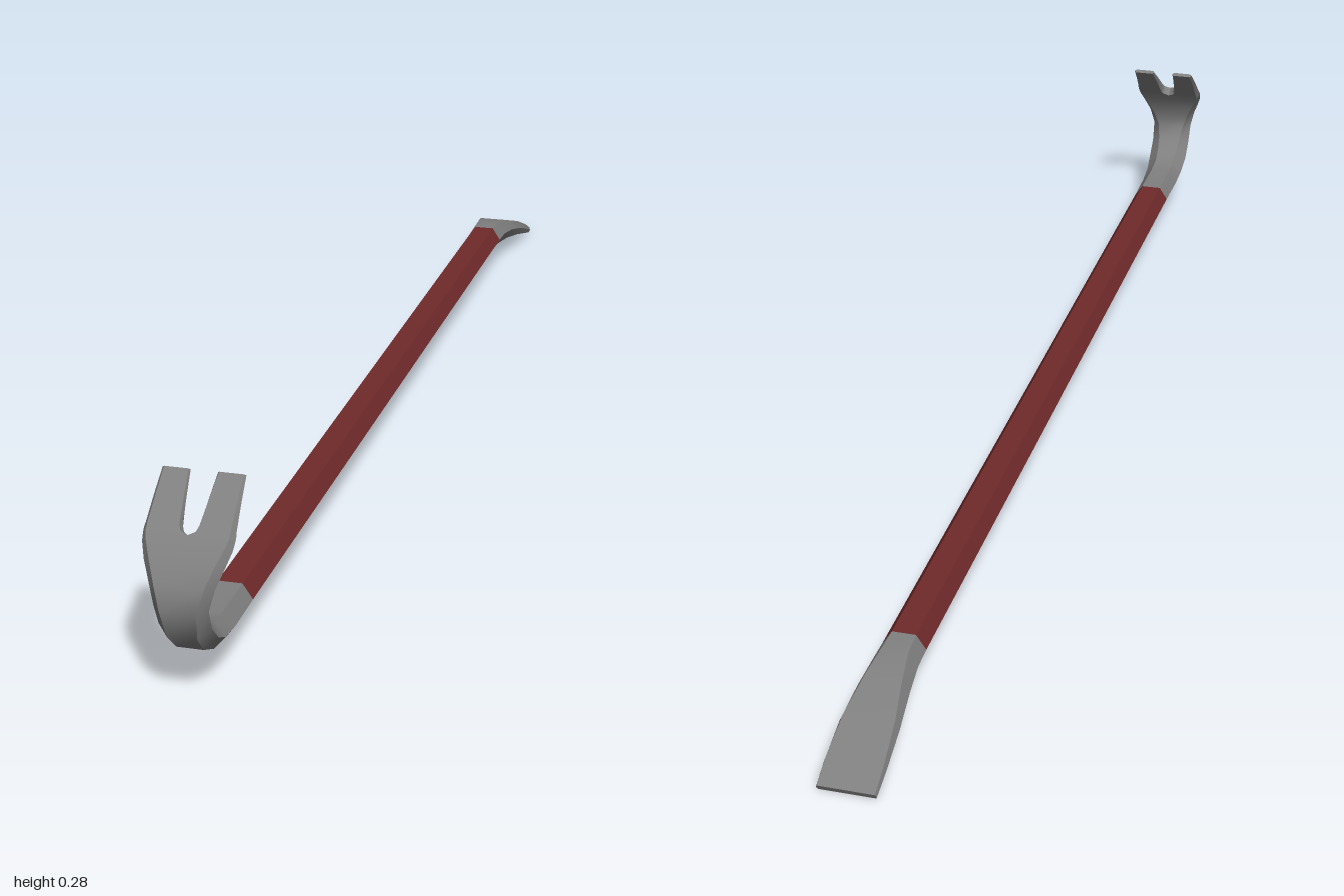
import * as THREE from 'three';

const steel = new THREE.MeshStandardMaterial({ color: 0x808080 });
steel.name = 'bare steel';
const red = new THREE.MeshStandardMaterial({ color: 0x702a2a });
red.name = 'red paint';

// Six-cornered section. s = [outerZ, outerY, innerZ, innerY]; right edge, right flat, left flat, left edge in x.
function ring([oz, oy, iz, iy], r, rf, lf, l) {
  const mz = (oz + iz) / 2, my = (oy + iy) / 2;
  return [[r, my, mz], [rf, iy, iz], [lf, iy, iz], [l, my, mz], [lf, oy, oz], [rf, oy, oz]];
}

// Skin over sections: smooth along the length, sharp between the six sides.
function loft(name, rings, material, capStart, capEnd) {
  const pos = [], idx = [];
  for (let j = 0; j < 6; j++) {
    const base = pos.length / 3;
    rings.forEach((r) => pos.push(...r[j], ...r[(j + 1) % 6]));
    for (let i = 0; i < rings.length - 1; i++) {
      const a = base + i * 2;
      idx.push(a, a + 1, a + 3, a, a + 3, a + 2);
    }
  }
  const cap = (r, flip) => {
    const base = pos.length / 3;
    r.forEach((p) => pos.push(...p));
    for (let k = 1; k < 5; k++) {
      idx.push(base, base + (flip ? k + 1 : k), base + (flip ? k : k + 1));
    }
  };
  if (capStart) cap(rings[0], true);
  if (capEnd) cap(rings[rings.length - 1], false);
  const geo = new THREE.BufferGeometry();
  geo.setAttribute('position', new THREE.Float32BufferAttribute(pos, 3));
  geo.setIndex(idx);
  geo.computeVertexNormals();
  const mesh = new THREE.Mesh(geo, material);
  mesh.name = name;
  return mesh;
}

const full = (s) => ring(s, s[4], s[5], -s[5], -s[4]);

export function createModel() {
  const group = new THREE.Group();
  group.name = 'crowbar';

  // Flat chisel end: outer z, y, inner z, y, half width, half flat width
  const chisel = [
    [-0.995, 0, -1, 0.009, 0.041, 0.039],
    [-0.96, 0.01, -0.96, 0.028, 0.042, 0.039],
    [-0.9, 0.026, -0.9, 0.053, 0.041, 0.035],
    [-0.84, 0.037, -0.84, 0.073, 0.036, 0.026],
    [-0.79, 0.041, -0.79, 0.083, 0.032, 0.019],
    [-0.75, 0.041, -0.75, 0.084, 0.031, 0.017],
  ];
  group.add(loft('chiselEnd', chisel.map(full), steel, true, false));

  // Painted hexagonal shaft
  const shaft = [-0.75, 0.795].map((z) => [z, 0.041, z, 0.084, 0.031, 0.017]);
  group.add(loft('shaft', shaft.map(full), red, true, true));

  // Curved neck, widening toward the claw
  const neck = [
    [0.795, 0.041, 0.795, 0.084, 0.031, 0.017],
    [0.865, 0.042, 0.88, 0.084, 0.032, 0.017],
    [0.915, 0.05, 0.915, 0.088, 0.033, 0.017],
    [0.957, 0.07, 0.938, 0.1, 0.035, 0.018],
    [0.985, 0.098, 0.958, 0.118, 0.035, 0.02],
    [0.999, 0.138, 0.971, 0.141, 0.036, 0.024],
    [0.993, 0.17, 0.967, 0.165, 0.043, 0.032],
    [0.977, 0.198, 0.958, 0.188, 0.053, 0.043],
    [0.963, 0.216, 0.947, 0.205, 0.059, 0.051],
    [0.955, 0.225, 0.94, 0.215, 0.06, 0.054],
  ];
  group.add(loft('hookNeck', neck.map(full), steel, false, true));

  // Two prongs around the nail notch; last two values: notch half width, notch bevel
  const prong = [
    [0.955, 0.225, 0.94, 0.215, 0.06, 0.054, 0, 0],
    [0.951, 0.229, 0.937, 0.219, 0.06, 0.054, 0.008, 0.002],
    [0.945, 0.235, 0.932, 0.225, 0.059, 0.054, 0.011, 0.002],
    [0.915, 0.26, 0.908, 0.253, 0.057, 0.053, 0.0145, 0.002],
    [0.886, 0.283, 0.881, 0.279, 0.055, 0.052, 0.018, 0.002],
  ];
  group.add(loft('leftProng', prong.map((s) => ring(s, s[4], s[5], s[6] + s[7], s[6])), steel, false, true));
  group.add(loft('rightProng', prong.map((s) => ring(s, -s[6], -s[6] - s[7], -s[5], -s[4])), steel, false, true));

  return group;
}
